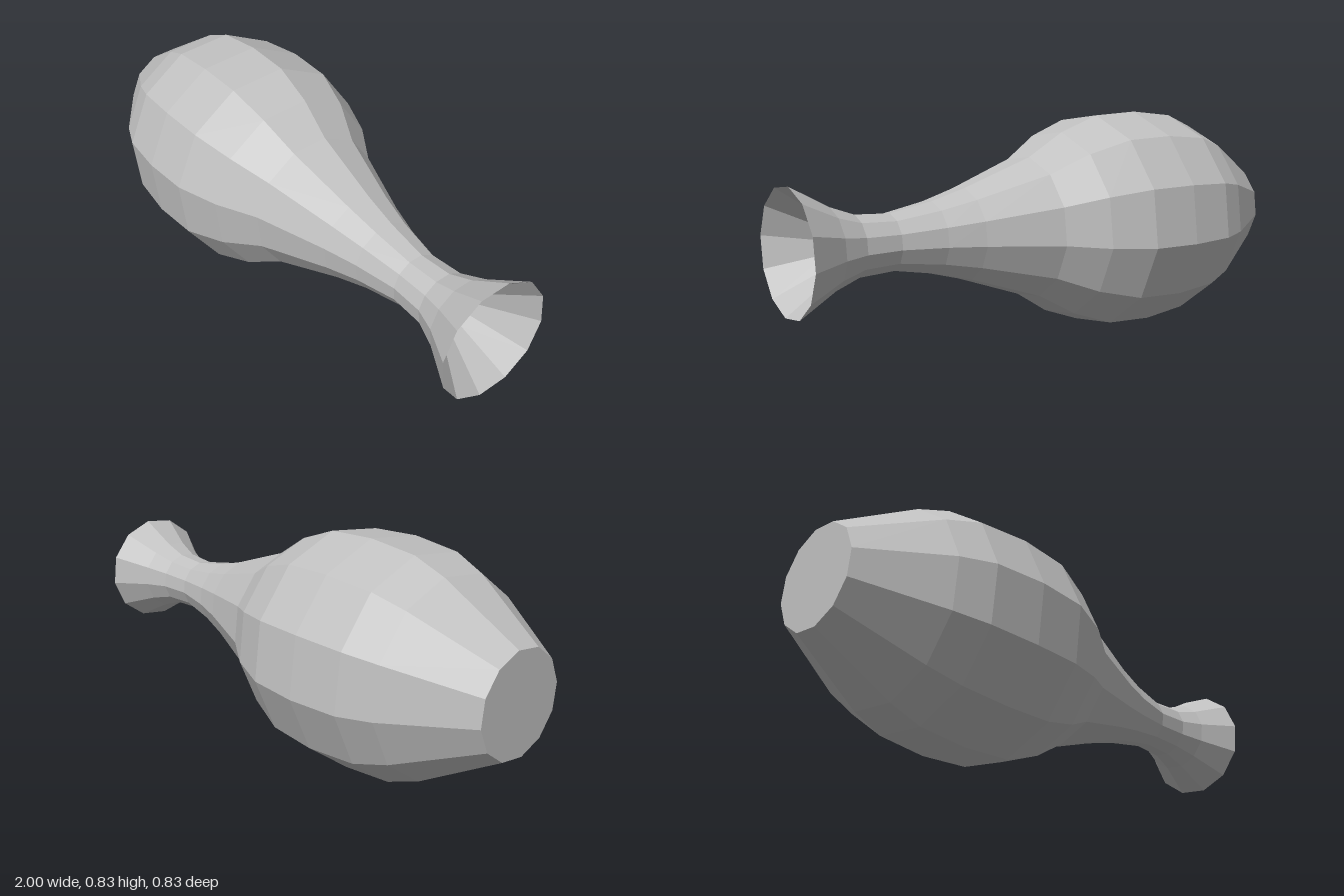
import * as THREE from 'three';

export function createModel() {
  const group = new THREE.Group();
  group.name = 'lyingVase';
  const clay = new THREE.MeshStandardMaterial({ color: 0xc0c0c0, flatShading: true });
  clay.name = 'greyClay';

  const SIDES = 12, AXIS_HEIGHT = 0.415, TWIST = THREE.MathUtils.degToRad(-8.2);

  // Spins a profile of [radius, position along the axis] and lays it along x
  function turned(name, profile) {
    const points = profile.map(([r, x]) => new THREE.Vector2(r, x));
    const geometry = new THREE.LatheGeometry(points, SIDES, TWIST).toNonIndexed();
    geometry.rotateZ(-Math.PI / 2);
    geometry.computeVertexNormals();
    const mesh = new THREE.Mesh(geometry, clay);
    mesh.name = name;
    mesh.position.y = AXIS_HEIGHT;
    group.add(mesh);
  }

  // Flat base, full belly, narrow neck and flared mouth
  turned('vaseBody', [
    [0, -1], [0.185, -1], [0.353, -0.72], [0.4, -0.6], [0.419, -0.41],
    [0.409, -0.22], [0.35, -0.06], [0.263, 0.08], [0.167, 0.35], [0.13, 0.48],
    [0.1, 0.64], [0.107, 0.77], [0.14, 0.86], [0.217, 1],
  ]);

  // Hollow inside, from the sharp rim through the neck to the bottom
  turned('vaseInside', [
    [0.217, 1], [0.087, 0.83], [0.06, 0.76], [0.048, 0.64], [0.08, 0.48],
    [0.117, 0.35], [0.21, 0.08], [0.3, -0.06], [0.36, -0.22], [0.37, -0.41],
    [0.35, -0.6], [0.3, -0.72], [0.14, -0.92], [0, -0.95],
  ]);

  return group;
}
